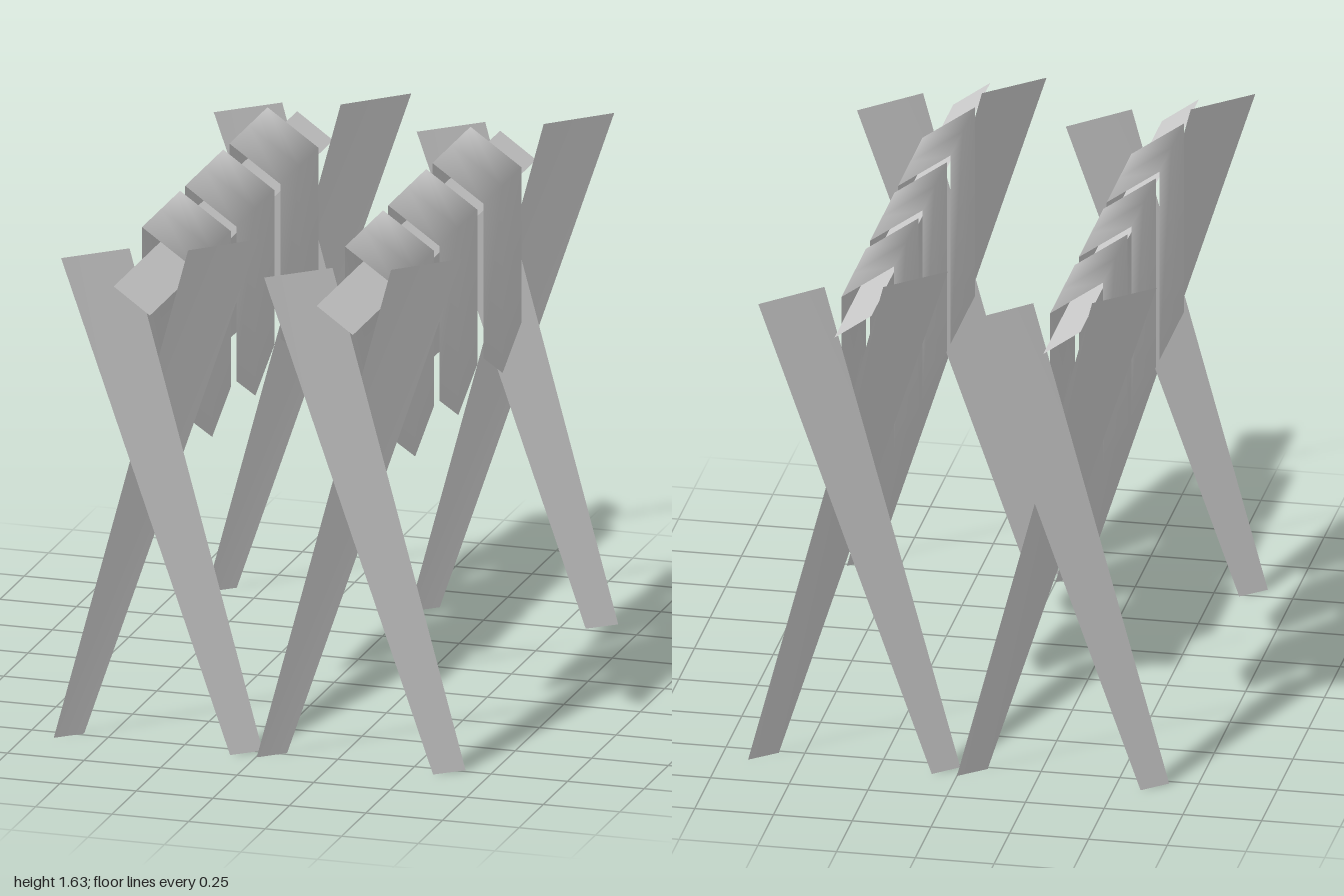
import * as THREE from 'three';

const material = new THREE.MeshStandardMaterial({ color: 0xcccccc, side: THREE.DoubleSide });

// Thin sheet lofted through rows of [x, y, z] points; its front is (row step) x (column step)
function sheet(name, rows) {
  const cols = rows[0].length;
  const index = [];
  for (let r = 0; r < rows.length - 1; r++) {
    for (let c = 0; c < cols - 1; c++) {
      const a = r * cols + c;
      const b = a + cols;
      index.push(a, b, a + 1, b, b + 1, a + 1);
    }
  }
  const geometry = new THREE.BufferGeometry();
  geometry.setAttribute('position', new THREE.Float32BufferAttribute(rows.flat(2), 3));
  geometry.setIndex(index);
  geometry.computeVertexNormals();
  const mesh = new THREE.Mesh(geometry, material);
  mesh.name = name;
  return mesh;
}

// Pair of tapered flat planks crossing in an X, wider at the top
function crossedLegs(name) {
  const top = 1.615;
  const group = new THREE.Group();
  group.name = name;
  group.add(
    sheet('innerLeaningLeg', [
      [[-0.583, 0, 0.737], [-0.66, 0, 0.807]],
      [[-0.065, top, 0.573], [-0.24, top, 0.748]],
    ]),
    sheet('outerLeaningLeg', [
      [[0, 0, 0.737], [-0.083, 0, 0.81]],
      [[-0.42, top, 0.783], [-0.593, top, 0.943]],
    ]),
  );
  return group;
}

// Cloth folded over the pole: straight hem on one side, pointed hem on the other
function cloth(z) {
  const half = 0.196;
  const row = (x, y, middleY = y) => [[x, y, z + half], [x, middleY, z], [x, y, z - half]];
  return sheet('hangingCloth', [
    row(-0.43, 0.997),
    row(-0.43, 1.635),
    row(-0.263, 1.518),
    row(-0.263, 1.013, 0.906),
  ]);
}

function rack(name) {
  const group = new THREE.Group();
  group.name = name;

  const backLegs = crossedLegs('backLegs');
  backLegs.position.z = -1.573;
  group.add(crossedLegs('frontLegs'), backLegs);

  // Slanted flat crossbar
  group.add(sheet('crossbar', [
    [[-0.403, 1.558, 1], [-0.403, 1.558, -0.89]],
    [[-0.285, 1.474, 1], [-0.285, 1.474, -0.89]],
  ]));

  for (const z of [0.427, -0.018, -0.474]) group.add(cloth(z));
  return group;
}

export function createModel() {
  const model = new THREE.Group();
  model.name = 'dryingRacks';
  const leftRack = rack('leftRack');
  leftRack.position.x = 0.663;
  model.add(rack('rightRack'), leftRack);
  return model;
}
